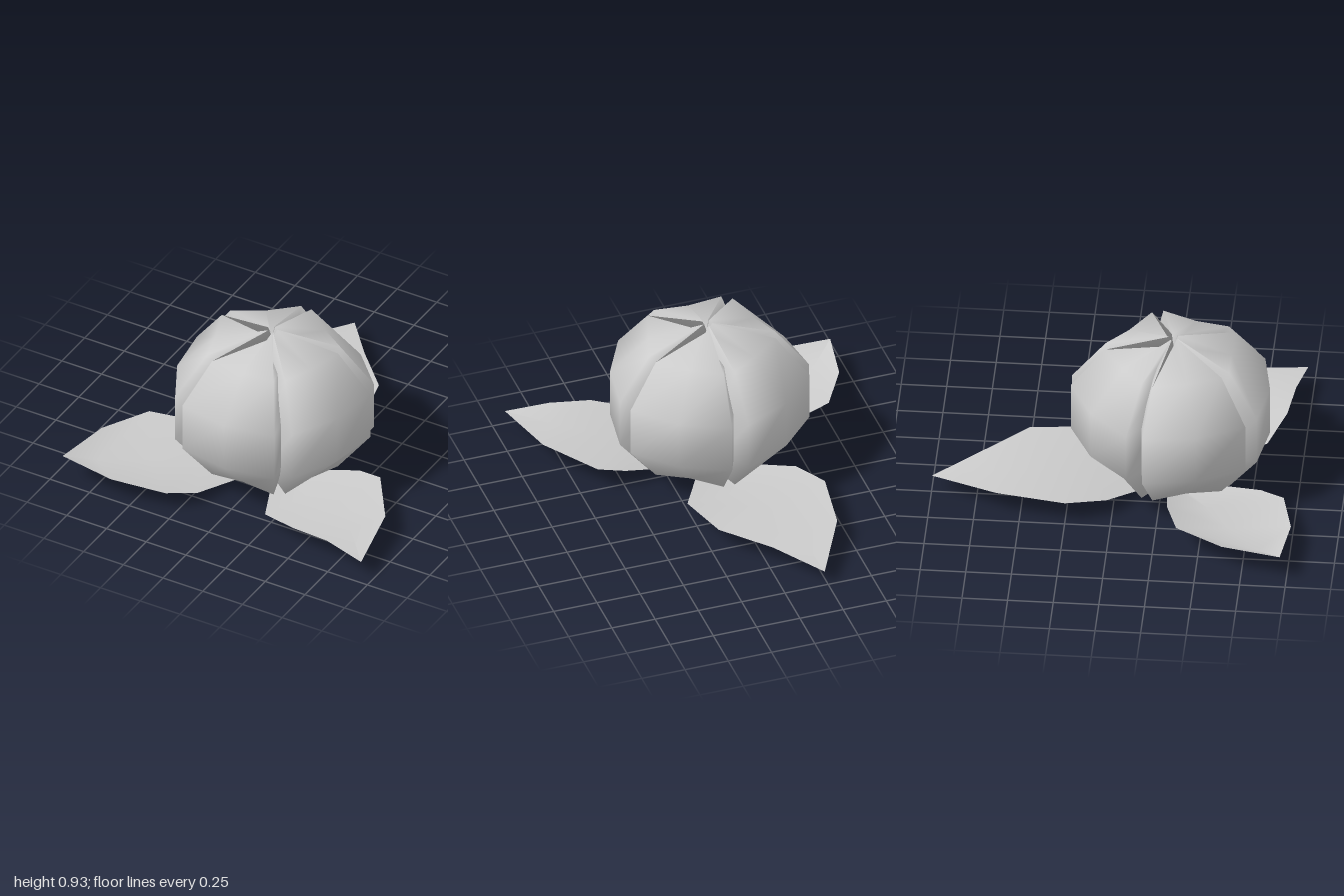
import * as THREE from 'three';

const material = new THREE.MeshStandardMaterial({ color: 0xcccccc, side: THREE.DoubleSide });
const AXIS_Z = 0.305; // the flower sits in front of the origin

// Smooth surface through rows of points; every row has the same length
function gridSurface(rows, name) {
  const n = rows[0].length;
  const index = [];
  for (let i = 0; i < rows.length - 1; i++) {
    for (let j = 0; j < n - 1; j++) {
      const a = i * n + j, b = a + 1, c = a + n, d = c + 1;
      index.push(a, b, d, a, d, c);
    }
  }
  const geometry = new THREE.BufferGeometry();
  geometry.setAttribute('position', new THREE.Float32BufferAttribute(rows.flat(2), 3));
  geometry.setIndex(index);
  geometry.computeVertexNormals();
  const mesh = new THREE.Mesh(geometry, material);
  mesh.name = name;
  return mesh;
}

// One petal facing +z: ridge, two raised corners and side walls folded inwards
function createPetal() {
  // corner height and scale, ridge height and radius, wall height and scale
  const profile = [
    [0.01, 0.05, 0.07, 0, 0.09, 0],
    [0.1, 0.67, 0.115, 0.32, 0.12, 0.62],
    [0.335, 1, 0.335, 0.53, 0.335, 1],
    [0.62, 1, 0.62, 0.53, 0.62, 1],
    [0.855, 0.67, 0.84, 0.32, 0.835, 0.62],
    [0.94, 0.05, 0.88, 0, 0.86, 0],
  ];
  const rows = profile.map(([y, s, ridgeY, ridgeR, wallY, w]) => [
    [-0.245 * w, wallY, 0.28 * w],
    [-0.29 * s, y, 0.48 * s],
    [0, ridgeY, ridgeR],
    [0.29 * s, y, 0.48 * s],
    [0.245 * w, wallY, 0.28 * w],
  ]);
  return gridSurface(rows, 'petal');
}

// Leaves as cross-sections (one edge, midrib, other edge) from base to tip
const leaves = {
  backLeaf: [
    [[0.05, 0.01, 0.28], [0, 0.01, 0.26], [-0.05, 0.01, 0.28]],
    [[0.28, 0.12, -0.18], [-0.06, 0.07, -0.1], [-0.4, 0.11, -0.03]],
    [[0.21, 0.145, -0.5], [-0.13, 0.12, -0.36], [-0.49, 0.14, -0.25]],
    [[-0.02, 0.135, -0.74], [-0.2, 0.135, -0.68], [-0.43, 0.145, -0.63]],
    [[-0.23, 0.1, -1], [-0.23, 0.1, -1], [-0.23, 0.1, -1]],
  ],
  leftLeaf: [
    [[0.04, 0.01, 0.36], [0.06, 0.01, 0.33], [0.07, 0.01, 0.28]],
    [[0.24, 0.09, 0.8], [0.33, 0.07, 0.51], [0.5, 0.12, 0.22]],
    [[0.47, 0.135, 0.89], [0.52, 0.11, 0.6], [0.65, 0.145, 0.25]],
    [[0.7, 0.15, 0.92], [0.75, 0.14, 0.75], [0.86, 0.15, 0.56]],
    [[0.94, 0.12, 0.965], [0.94, 0.12, 0.965], [0.94, 0.12, 0.965]],
  ],
  rightLeaf: [
    [[-0.07, 0.01, 0.28], [-0.06, 0.01, 0.33], [-0.04, 0.01, 0.36]],
    [[-0.5, 0.16, 0.31], [-0.33, 0.04, 0.52], [-0.19, 0.08, 0.8]],
    [[-0.73, 0.18, 0.38], [-0.57, 0.08, 0.65], [-0.31, 0.12, 0.935]],
    [[-0.88, 0.175, 0.64], [-0.8, 0.105, 0.83], [-0.615, 0.145, 1]],
    [[-0.94, 0.165, 0.965], [-0.94, 0.165, 0.965], [-0.94, 0.165, 0.965]],
  ],
};

export function createModel() {
  const model = new THREE.Group();
  model.name = 'flowerBud';

  // Ring of five closed petals
  const petals = new THREE.Group();
  petals.name = 'petals';
  petals.position.z = AXIS_Z;
  const petal = createPetal();
  for (let i = 0; i < 5; i++) {
    const copy = petal.clone();
    copy.rotation.y = (i * Math.PI * 2) / 5;
    petals.add(copy);
  }
  model.add(petals);

  // Three spreading leaves under the bud
  for (const [name, rows] of Object.entries(leaves)) model.add(gridSurface(rows, name));

  return model;
}
